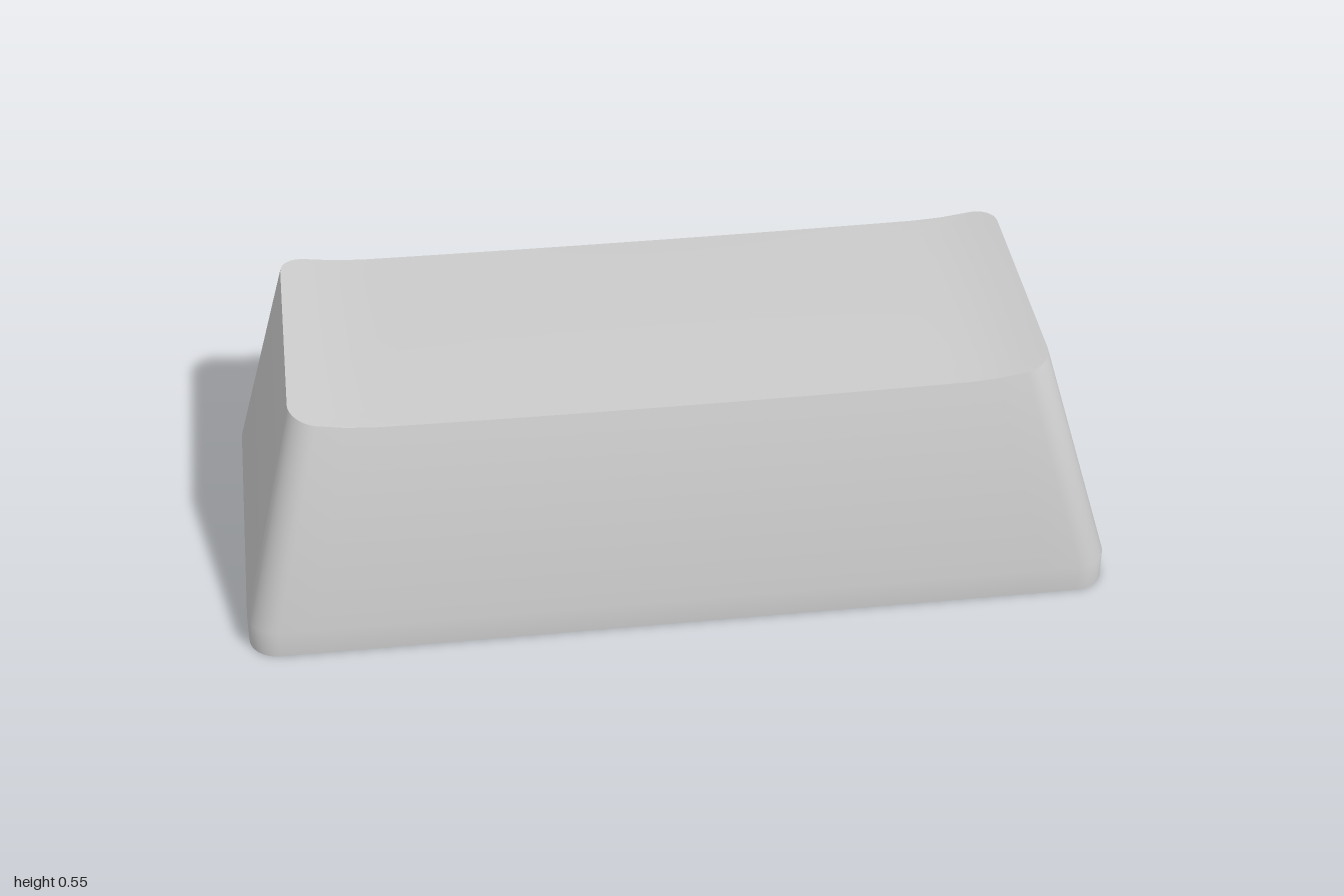
import * as THREE from 'three';
import { toCreasedNormals } from 'three/addons/utils/BufferGeometryUtils.js';

const BACK = -0.413, FRONT = 0.413;
const SHOULDER = 0.07; // height where the walls start to lean in
const TOP = 0.545;
const MID_Z = -0.08; // middle of the top, front to back

// height of the top: flat and faintly crowned in the middle, sweeping up at both ends
function dish(x, z) {
  const sweep = 0.025 * (Math.max(0, Math.abs(x) - 0.67) / 0.2) ** 2;
  const crown = 0.006 * (1 - (x / 0.87) ** 2) * ((z - MID_Z) / 0.334) ** 2;
  return 0.522 + sweep * 0.92 - crown;
}

// rounded rectangle, counter-clockwise from above, always the same point count
function outline(halfX, back, front, r, y) {
  const arc = 8, edge = 24, corners = [], pts = [];
  const centres = [[1, back + r], [-1, back + r], [-1, front - r], [1, front - r]];
  centres.forEach(([s, z], k) => {
    const c = [];
    for (let i = 0; i <= arc; i++) {
      const a = (k + i / arc) * Math.PI / 2;
      c.push(new THREE.Vector3(s * (halfX - r) + r * Math.cos(a), y, z - r * Math.sin(a)));
    }
    corners.push(c);
  });
  corners.forEach((c, k) => {
    pts.push(...c);
    const next = corners[(k + 1) % 4][0];
    for (let i = 1; i < edge; i++) pts.push(c[arc].clone().lerp(next, i / edge));
  });
  return pts;
}

// skin over a stack of closed rings
function loft(rings) {
  const n = rings[0].length, pos = [], idx = [];
  rings.forEach((ring) => ring.forEach((p) => pos.push(p.x, p.y, p.z)));
  for (let j = 0; j < rings.length - 1; j++) {
    for (let i = 0; i < n; i++) {
      const a = j * n + i, b = j * n + (i + 1) % n;
      idx.push(a, b, b + n, a, b + n, a + n);
    }
  }
  const g = new THREE.BufferGeometry();
  g.setAttribute('position', new THREE.Float32BufferAttribute(pos, 3));
  g.setIndex(idx);
  return toCreasedNormals(g, 0.6);
}

export function createModel() {
  const group = new THREE.Group();
  const material = new THREE.MeshStandardMaterial({ color: 0xcccccc });
  const add = (name, geometry) => {
    const mesh = new THREE.Mesh(geometry, material);
    mesh.name = name;
    group.add(mesh);
    return mesh;
  };

  // outer walls: straight foot, then leaning in on the front and sides
  const foot = outline(1, BACK, FRONT, 0.07, 0);
  const shoulder = outline(1, BACK, FRONT, 0.07, SHOULDER);
  const peak = outline(0.87, BACK, 0.255, 0.065, TOP);
  // the rim is where the leaning wall meets the top
  const rim = shoulder.map((p, i) => {
    const q = peak[i].clone();
    for (let k = 0; k < 6; k++) {
      q.lerpVectors(p, peak[i], (dish(q.x, q.z) - SHOULDER) / (TOP - SHOULDER));
    }
    return q;
  });
  add('outerWalls', loft([foot, shoulder, rim]));

  // dished top, from the rim inward
  const steps = 20, topRings = [rim];
  for (let k = 1; k <= steps; k++) {
    const s = 1 - k / steps;
    topRings.push(rim.map((p) => {
      const x = p.x * s, z = MID_Z + (p.z - MID_Z) * s;
      return new THREE.Vector3(x, dish(x, z), z);
    }));
  }
  add('dishedTop', loft(topRings));

  // hollow inside: ceiling, tapered inner walls and the flat bottom edge
  const ceilingY = 0.45, r = 0.003;
  const ceiling = outline(0.852, BACK + 0.058, 0.18, r, ceilingY);
  const ceilingMid = ceiling.map(() => new THREE.Vector3(0, ceilingY, MID_Z));
  const mouth = outline(0.942, BACK + 0.058, FRONT - 0.058, r, 0);
  add('ceiling', loft([ceilingMid, ceiling]));
  add('innerWalls', loft([ceiling, mouth]));
  add('bottomEdge', loft([mouth, foot]));

  // round stem with a cross-shaped socket
  const stemY = 0.035, long = 0.1, thin = 0.034;
  const shape = new THREE.Shape().absarc(0, 0, 0.136, 0, Math.PI * 2);
  const cross = [];
  for (let k = 0; k < 4; k++) {
    for (const [x, y] of [[long, -thin], [long, thin], [thin, thin]]) {
      cross.push(new THREE.Vector2(x, y).rotateAround(new THREE.Vector2(), k * Math.PI / 2));
    }
  }
  shape.holes.push(new THREE.Path(cross));
  const stem = new THREE.ExtrudeGeometry(shape, {
    depth: ceilingY - stemY, bevelEnabled: false, curveSegments: 40,
  });
  stem.rotateX(-Math.PI / 2);
  add('stem', toCreasedNormals(stem, 0.6)).position.set(0, stemY, -0.062);

  return group;
}
